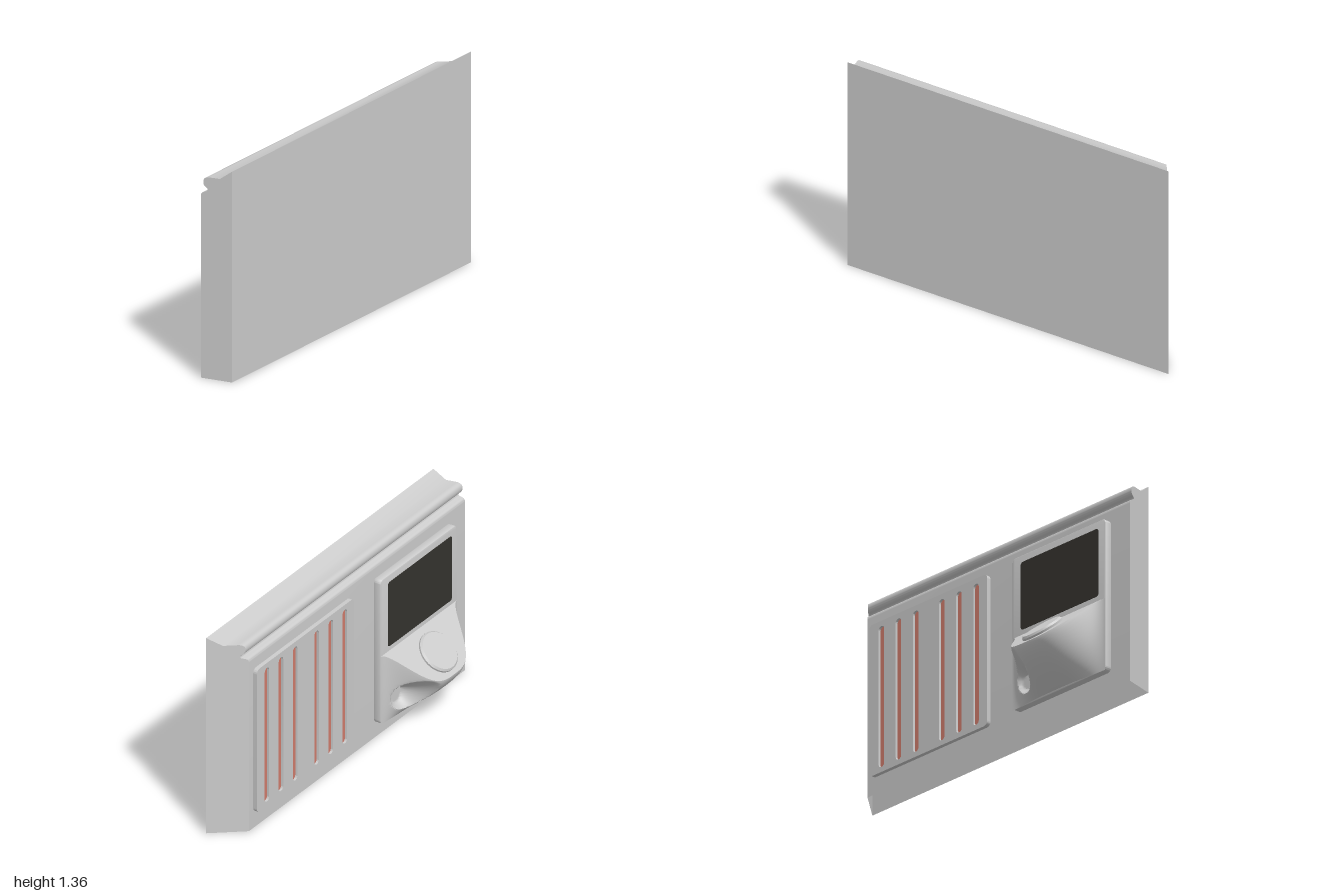
import * as THREE from 'three';
import { toCreasedNormals } from 'three/addons/utils/BufferGeometryUtils.js';

const mat = (color) => new THREE.MeshStandardMaterial({ color, side: THREE.DoubleSide });
const grey = mat(0xcccccc);
const dark = mat(0x35332e);
const red = mat(0xd07c6c);

// Panel frame: x runs along the panel (mirrored u), y up, z out of the control face.
const FACE = 0.197;

function addMesh(parent, name, geometry, material = grey) {
  const mesh = new THREE.Mesh(geometry, material);
  mesh.name = name;
  parent.add(mesh);
  return mesh;
}

// Rounded rectangle outline between two u and two y values
function roundedRect(Type, u0, u1, y0, y1, r) {
  const s = new Type();
  const [a, b] = [-u1, -u0];
  s.moveTo(a + r, y0);
  s.lineTo(b - r, y0);
  s.absarc(b - r, y0 + r, r, -Math.PI / 2, 0);
  s.lineTo(b, y1 - r);
  s.absarc(b - r, y1 - r, r, 0, Math.PI / 2);
  s.lineTo(a + r, y1);
  s.absarc(a + r, y1 - r, r, Math.PI / 2, Math.PI);
  s.lineTo(a, y0 + r);
  s.absarc(a + r, y0 + r, r, Math.PI, Math.PI * 1.5);
  return s;
}

function slab(shape, z0, z1, bevel = 0) {
  const g = new THREE.ExtrudeGeometry(shape, {
    depth: z1 - z0 - bevel, curveSegments: 8, bevelEnabled: bevel > 0,
    bevelSize: bevel, bevelOffset: -bevel, bevelThickness: bevel, bevelSegments: 2,
  });
  return toCreasedNormals(g.translate(0, 0, z0), 0.6);
}

// Hollow casing: side profile swept along the panel, with skewed ends and an open bottom
function casingGeometry() {
  const s = new THREE.Shape();
  s.moveTo(0, 0);
  s.lineTo(FACE, 0);
  s.lineTo(FACE, 1.175);
  s.quadraticCurveTo(FACE, 1.197, 0.178, 1.202);
  s.lineTo(0.16, 1.208);
  s.quadraticCurveTo(0.148, 1.222, 0.165, 1.232);
  s.quadraticCurveTo(0.182, 1.242, 0.182, 1.265);
  s.quadraticCurveTo(0.182, 1.3, 0.145, 1.3);
  s.lineTo(0.078, 1.3);
  s.lineTo(0, 1.36);
  let g = new THREE.ExtrudeGeometry(s, { depth: 1, bevelEnabled: false, curveSegments: 6 });
  if (g.index) g = g.toNonIndexed();
  const p = g.attributes.position;
  const out = [];
  for (let i = 0; i < p.count; i += 3) {
    if ([0, 1, 2].every((k) => p.getY(i + k) < 1e-6)) continue;
    for (let k = i; k < i + 3; k++) {
      const n = p.getX(k);
      const u = THREE.MathUtils.lerp(-0.24 * n, 2.4 - 0.84 * n, p.getZ(k));
      out.push(-u, p.getY(k), n);
    }
  }
  const shell = new THREE.BufferGeometry();
  shell.setAttribute('position', new THREE.Float32BufferAttribute(out, 3));
  return toCreasedNormals(shell, 0.7);
}

// Bell-shaped control housing: sloping top, curved underside and a conical scoop
function housingGeometry() {
  const COLS = 72, TOP = 8, LOW = 48;
  const base = 0.25, yTop = 0.585, yBottom = 0.11, mid = 0.517, half = 0.403;
  const pos = [], idx = [];
  for (let j = 0; j <= TOP + LOW; j++) {
    for (let i = 0; i <= COLS; i++) {
      const s = (i / COLS) * 2 - 1;
      const u = mid - s * half;
      const reach = 0.257 * (1 + Math.cos(Math.PI * Math.abs(s) ** 1.7)) / 2;
      const yRim = yTop - 0.9 * reach;
      let n, y;
      if (j <= TOP) {
        n = base + reach * (j / TOP);
        y = yTop - 0.9 * reach * (j / TOP);
      } else {
        const t = (j - TOP) / LOW;
        n = base + reach * (1 - 0.93 * t ** 1.5);
        y = THREE.MathUtils.lerp(yRim, yBottom, t);
        const d = Math.hypot(u - 0.735, y - 0.27) / 0.115;
        if (d < 1) n = Math.max(base + 0.004, n - 0.17 * (1 - d));
      }
      pos.push(-u, y, n);
    }
  }
  const row = COLS + 1;
  for (let j = 0; j < TOP + LOW; j++) {
    for (let i = 0; i < COLS; i++) {
      const a = j * row + i, b = a + row;
      idx.push(a, b, a + 1, b, b + 1, a + 1);
    }
  }
  const g = new THREE.BufferGeometry();
  g.setAttribute('position', new THREE.Float32BufferAttribute(pos, 3));
  g.setIndex(idx);
  return toCreasedNormals(g, 0.6);
}

export function createModel() {
  const model = new THREE.Group();
  model.name = 'angledControlPanel';
  const panel = new THREE.Group();
  panel.name = 'panel';
  panel.position.set(-0.57, 0, 1);
  panel.rotation.y = Math.atan2(-0.833, -0.554);
  model.add(panel);

  addMesh(panel, 'casing', casingGeometry());

  // Vent plate with six slots over coloured strips
  const ventPlate = roundedRect(THREE.Shape, 1.165, 2.19, 0.11, 1.108, 0.03);
  for (const offset of [0.113, 0.263, 0.411]) {
    for (const side of [-1, 1]) {
      const c = 1.673 + side * offset;
      ventPlate.holes.push(roundedRect(THREE.Path, c - 0.024, c + 0.024, 0.143, 1.073, 0.0235));
      const strip = roundedRect(THREE.Shape, c - 0.027, c + 0.027, 0.14, 1.076, 0.025);
      addMesh(panel, 'ventStrip', slab(strip, FACE + 0.002, FACE + 0.012), red);
    }
  }
  addMesh(panel, 'ventPlate', slab(ventPlate, FACE + 0.001, 0.225));

  // Display plate and screen
  const displayPlate = roundedRect(THREE.Shape, 0.112, 0.922, 0.11, 1.112, 0.03);
  addMesh(panel, 'displayPlate', slab(displayPlate, FACE + 0.009, 0.25, 0.008));
  const screen = roundedRect(THREE.Shape, 0.17, 0.845, 0.617, 1.063, 0.02);
  addMesh(panel, 'screen', slab(screen, 0.24, 0.253), dark);

  // Control housing with a round button on its sloping top
  addMesh(panel, 'controlHousing', housingGeometry());
  const profile = [[0, -0.02], [0.135, -0.02], [0.135, 0.012], [0.124, 0.024], [0, 0.024]]
    .map(([r, h]) => new THREE.Vector2(r, h));
  const button = addMesh(panel, 'roundButton', toCreasedNormals(new THREE.LatheGeometry(profile, 40), 0.5));
  button.position.set(-0.513, 0.464, 0.385);
  button.rotation.x = Math.atan(0.9);

  return model;
}
